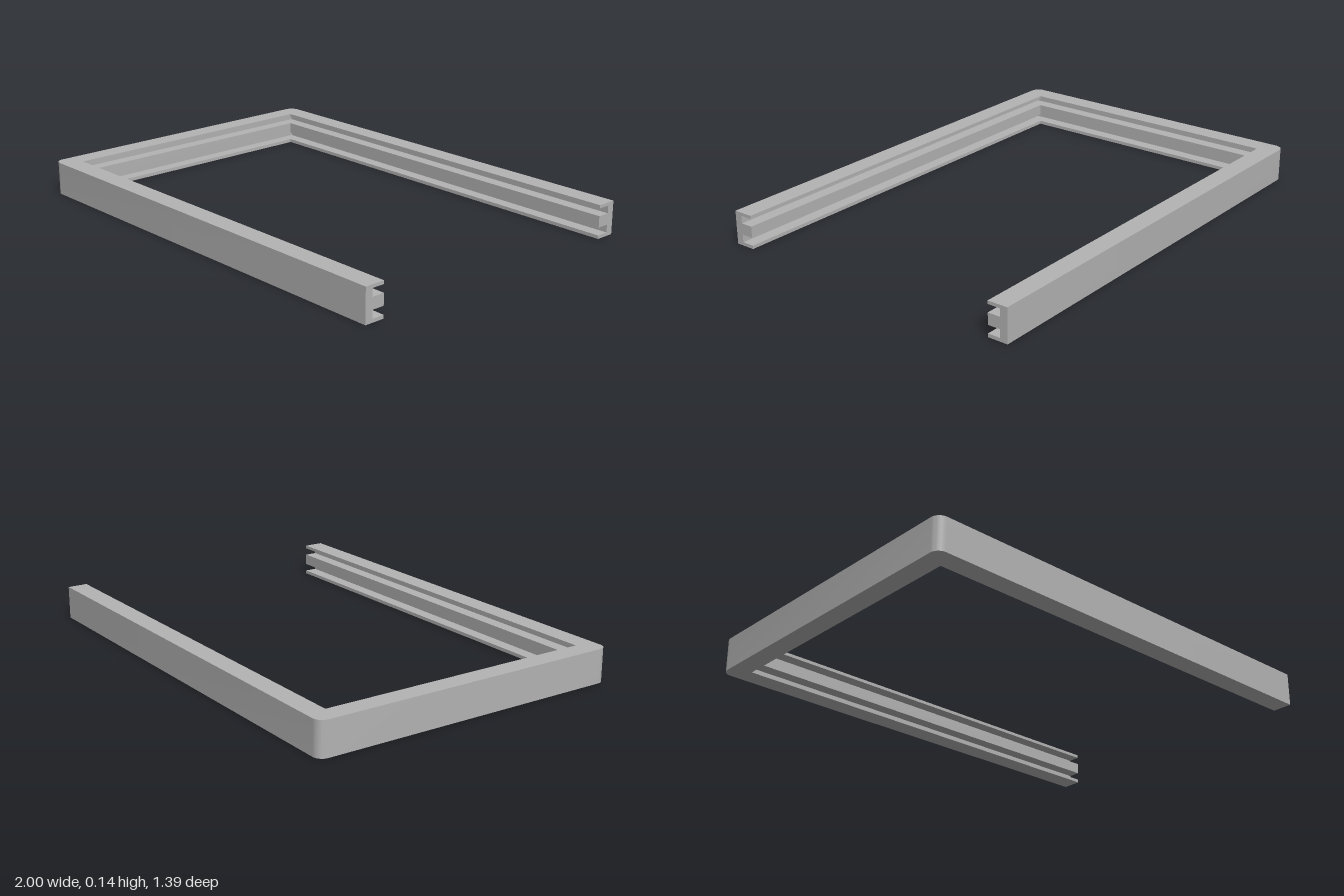
import * as THREE from 'three';
import { toCreasedNormals } from 'three/addons/utils/BufferGeometryUtils.js';

const HALF_DEPTH = 0.697, HEIGHT = 0.145, WIDTH = 0.088, GROOVE = 0.033, RADIUS = 0.04;

// Rail section as (distance in from the outer wall, height), with two grooves on the inner side
const section = [
  [0, 0], [WIDTH, 0],
  [WIDTH, 0.015], [GROOVE, 0.015], [GROOVE, 0.049], [WIDTH, 0.049],
  [WIDTH, 0.098], [GROOVE, 0.098], [GROOVE, 0.131], [WIDTH, 0.131],
  [WIDTH, HEIGHT], [0, HEIGHT],
].map(([d, y]) => new THREE.Vector2(d, y));

// Stations along the U: open end, two corners with a rounded outer wall, open end
function makeStations() {
  const steps = 8;
  const stations = [{ side: 1, end: true }];
  for (const side of [1, -1]) {
    for (let i = 0; i <= steps; i++) {
      const t = (side > 0 ? i : steps - i) / steps * Math.PI / 2;
      stations.push({
        side,
        x: -1 + RADIUS - RADIUS * Math.sin(t),
        z: side * (HALF_DEPTH - RADIUS + RADIUS * Math.cos(t)),
      });
    }
  }
  stations.push({ side: -1, end: true });
  return stations;
}

// Section point placed at a station; inner points meet in a sharp mitre
function place(station, point) {
  const d = point.x;
  if (station.end) return new THREE.Vector3(1, point.y, station.side * (HALF_DEPTH - d));
  if (d === 0) return new THREE.Vector3(station.x, point.y, station.z);
  return new THREE.Vector3(-1 + d, point.y, station.side * (HALF_DEPTH - d));
}

function railGeometry() {
  const rings = makeStations().map((s) => section.map((p) => place(s, p)));
  const positions = [];
  const addTriangle = (a, b, c) => {
    if (new THREE.Triangle(a, b, c).getArea() < 1e-9) return;
    for (const v of [a, b, c]) positions.push(v.x, v.y, v.z);
  };

  // Walls between neighbouring stations
  for (let i = 0; i < rings.length - 1; i++) {
    for (let j = 0; j < section.length; j++) {
      const k = (j + 1) % section.length;
      const a = rings[i][j], b = rings[i][k], c = rings[i + 1][k], e = rings[i + 1][j];
      addTriangle(a, e, c);
      addTriangle(a, c, b);
    }
  }

  // Cut ends
  const first = rings[0], last = rings[rings.length - 1];
  for (const [a, b, c] of THREE.ShapeUtils.triangulateShape(section, [])) {
    addTriangle(first[a], first[b], first[c]);
    addTriangle(last[a], last[c], last[b]);
  }

  const geometry = new THREE.BufferGeometry();
  geometry.setAttribute('position', new THREE.Float32BufferAttribute(positions, 3));
  return toCreasedNormals(geometry, 0.5);
}

export function createModel() {
  const grey = new THREE.MeshStandardMaterial({ color: 0xb3b3b3 });
  grey.name = 'grey metal';

  const frame = new THREE.Mesh(railGeometry(), grey);
  frame.name = 'groovedFrame';

  const model = new THREE.Group();
  model.name = 'openFrame';
  model.add(frame);
  return model;
}
